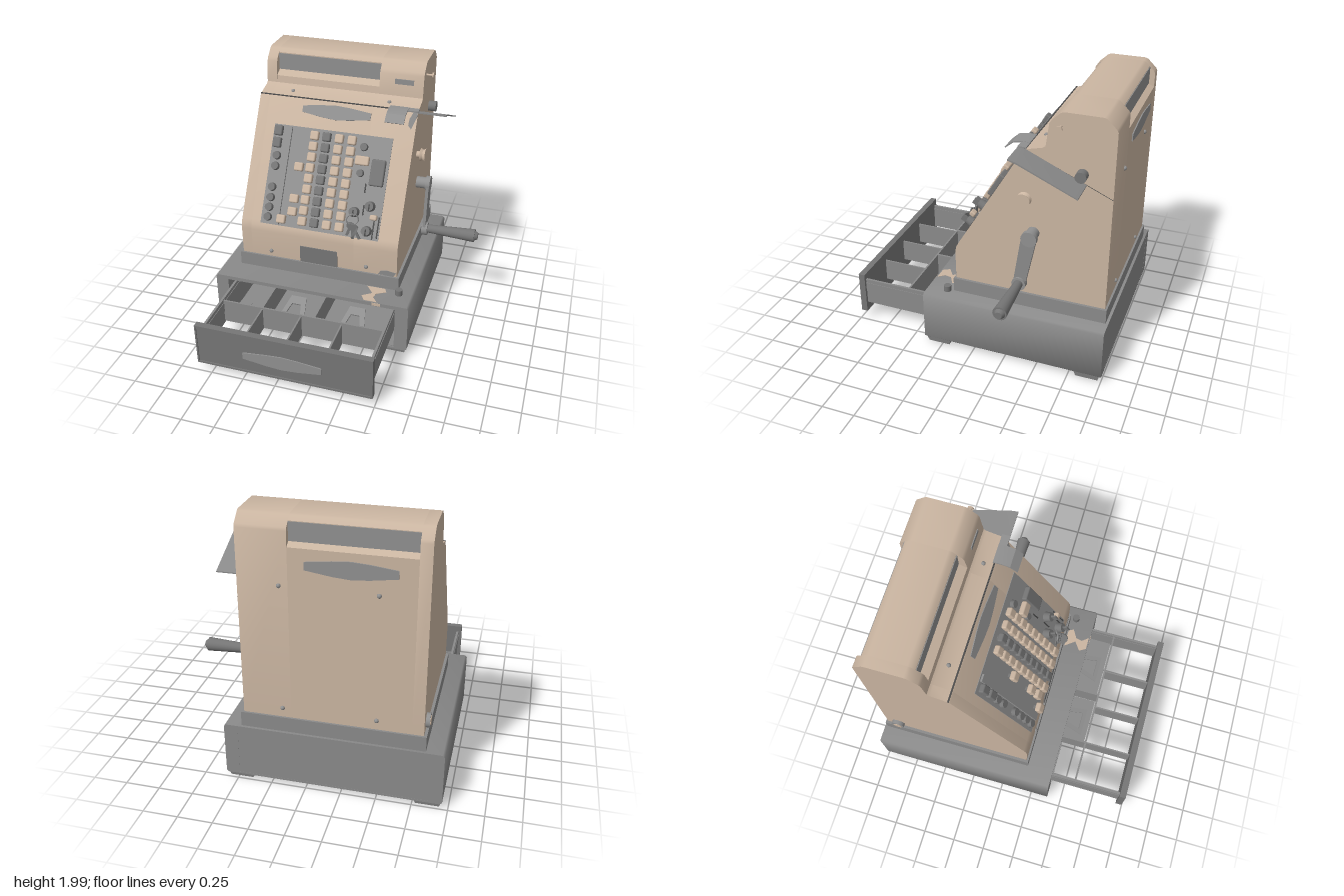
import * as THREE from 'three';
import { toCreasedNormals } from 'three/addons/utils/BufferGeometryUtils.js';
import { RoundedBoxGeometry } from 'three/addons/geometries/RoundedBoxGeometry.js';

const material = (name, color) => new THREE.MeshStandardMaterial({ name, color, side: THREE.DoubleSide });

export function createModel() {
  const root = new THREE.Group();
  const tan = material('beige enamel', 0xcab5a1);
  const grey = material('base grey', 0x8a8a8a);
  const metal = material('light metal', 0x909090);
  const slate = material('slate grey', 0x767676);
  const dark = material('dark metal', 0x4c4c4c);

  const add = (name, geo, mat, pos = [0, 0, 0], rot = [0, 0, 0], parent = root) => {
    const m = new THREE.Mesh(geo, mat);
    m.name = name;
    m.position.set(...pos);
    m.rotation.set(...rot);
    parent.add(m);
    return m;
  };
  // Box given by its minimum and maximum on each axis
  const box = (name, mat, x0, x1, y0, y1, z0, z1, parent = root) =>
    add(name, new THREE.BoxGeometry(x1 - x0, y1 - y0, z1 - z0), mat,
      [(x0 + x1) / 2, (y0 + y1) / 2, (z0 + z1) / 2], [0, 0, 0], parent);
  const vecs = pts => pts.map(p => new THREE.Vector2(...p));
  const extrude = (shape, depth) => new THREE.ExtrudeGeometry(shape, { depth, bevelEnabled: false });
  const flat = (pts, depth) => extrude(new THREE.Shape(vecs(pts)), depth);
  // Side profile of (z, y) points swept from x0 to x1
  const sweep = (name, mat, pts, x0, x1) => {
    const g = flat(pts, x1 - x0);
    g.rotateY(-Math.PI / 2);
    g.translate(x1, 0, 0);
    return add(name, toCreasedNormals(g, 0.5), mat);
  };
  // Round part lying along x, with its radius at each end
  const rod = (name, mat, x0, x1, y, z, r0, r1 = r0) =>
    add(name, new THREE.CylinderGeometry(r0, r1, x1 - x0, 20), mat, [(x0 + x1) / 2, y, z], [0, 0, Math.PI / 2]);
  // Long plaque, tallest in the middle
  const plaque = (w, h) => flat([[-w / 2, -h * 0.2], [-w * 0.2, -h * 0.42], [0, -h / 2], [w * 0.2, -h * 0.42],
    [w / 2, -h * 0.2], [w / 2, h * 0.25], [w * 0.2, h * 0.43], [0, h / 2], [-w * 0.2, h * 0.43], [-w / 2, h * 0.25]], 0.008);

  // Base housing with softly shaded edges, open at the front for the drawer
  const housing = new THREE.Shape(vecs([[-0.945, 0.04], [0.57, 0.04], [0.585, 0.055], [0.585, 0.425],
    [0.57, 0.44], [-0.945, 0.44], [-0.96, 0.425], [-0.96, 0.055]]));
  housing.holes.push(new THREE.Path(vecs([[-0.86, 0.055], [-0.86, 0.41], [0.485, 0.41], [0.485, 0.055]])));
  add('baseHousing', toCreasedNormals(extrude(housing, 1.39), 1), grey, [0, 0, -1]);
  box('baseBack', grey, -0.87, 0.495, 0.045, 0.42, -0.999, -0.97);
  box('bottomPanel', slate, -0.82, 0.45, 0.034, 0.041, -0.78, 0.3);
  box('plinth', grey, -0.83, 0.46, 0.435, 0.55, -0.98, 0.19);
  for (const x of [-0.855, 0.48]) for (const z of [0.28, -0.89]) {
    const foot = new THREE.CylinderGeometry(0.14, 0.118, 0.06, 4);
    foot.rotateY(Math.PI / 4);
    add('foot', foot.toNonIndexed(), grey, [x, 0.03, z]).geometry.computeVertexNormals();
  }
  add('baseButton', new THREE.CylinderGeometry(0.028, 0.028, 0.05, 16), slate, [0.475, 0.46, 0.235]);
  const chip = flat([[0.22, -0.2], [0.36, -0.2], [0.38, -0.24], [0.31, -0.28], [0.3, -0.33], [0.34, -0.38],
    [0.24, -0.38], [0.21, -0.33], [0.28, -0.28]], 0.003);
  add('wornPaint', chip, tan, [0, 0.44, 0], [-Math.PI / 2, 0, 0]);
  box('wornPaintFront', tan, 0.305, 0.37, 0.415, 0.438, 0.39, 0.393);

  // Drawer
  box('drawerFront', slate, -0.86, 0.485, 0.07, 0.41, 0.945, 0.985);
  for (const y of [0.07, 0.395]) box('drawerFrontRim', slate, -0.86, 0.485, y, y + 0.015, 0.945, 0.994);
  for (const x of [-0.86, 0.473]) box('drawerFrontEdge', slate, x, x + 0.012, 0.07, 0.41, 0.945, 0.994);
  add('drawerPlaque', plaque(0.6, 0.115), metal, [-0.19, 0.222, 0.992]);
  add('drawerPlaqueBack', plaque(0.58, 0.1), metal, [-0.19, 0.222, 0.984]);
  for (const x of [-0.835, 0.445]) {
    box('drawerSide', grey, x, x + 0.018, 0.145, 0.36, -0.4, 0.95);
    box('drawerRail', grey, x - 0.004, x + 0.022, 0.25, 0.33, -0.4, 0.945);
  }
  for (const x of [-0.5, -0.19, 0.13]) box('coinDivider', grey, x - 0.006, x + 0.006, 0.16, 0.34, 0.58, 0.95);
  box('crossDivider', grey, -0.83, 0.455, 0.16, 0.35, 0.572, 0.586);
  for (const x of [-0.5, -0.085]) box('noteDivider', grey, x - 0.008, x + 0.008, 0.16, 0.35, -0.4, 0.58);
  for (const [x0, x1] of [[-0.49, -0.1], [-0.075, 0.44]]) {
    box('noteTray', grey, x0, x1, 0.16, 0.175, -0.4, 0.565);
    const clip = new THREE.Shape(vecs([[-0.11, 0], [0.11, 0], [0.06, 0.24], [-0.06, 0.24]]));
    clip.holes.push(new THREE.Path(vecs([[-0.07, 0.03], [-0.035, 0.17], [0.035, 0.17], [0.07, 0.03]])));
    add('noteClip', extrude(clip, 0.012), metal, [(x0 + x1) / 2 - 0.01, 0.2, 0.52], [-1.2, 0, 0]);
  }

  // Cabinet: the middle slice carries the window recesses front and back
  const lower = [[-0.965, 0.55], [0.175, 0.55], [0.178, 0.77], [0.172, 0.815], [0.155, 0.85], [-0.335, 1.675], [-0.35, 1.69], [-0.47, 1.72], [-0.49, 1.735]];
  const plain = [...lower, [-0.51, 1.9], [-0.525, 1.925], [-0.585, 1.982], [-0.61, 1.99], [-0.87, 1.99], [-0.89, 1.982], [-0.955, 1.92], [-0.965, 1.9]];
  const recessed = [...lower, [-0.498, 1.79], [-0.56, 1.82], [-0.56, 1.957], [-0.585, 1.982], [-0.61, 1.99],
    [-0.87, 1.99], [-0.89, 1.982], [-0.92, 1.954], [-0.92, 1.82], [-0.965, 1.795]];
  sweep('cabinetRight', tan, plain, 0.1, 0.44);
  sweep('cabinetMiddle', tan, recessed, -0.73, 0.1);
  sweep('cabinetLeft', tan, plain, -0.81, -0.73);
  box('frontWindow', metal, -0.73, 0.1, 1.822, 1.95, -0.562, -0.555);
  box('backWindow', metal, -0.73, 0.1, 1.822, 1.95, -0.925, -0.918);
  box('counterWindow', metal, 0.22, 0.365, 1.825, 1.865, -0.51, -0.499);
  box('frontSeam', dark, -0.811, 0.441, 1.687, 1.693, -0.355, -0.344);
  sweep('sideSeam', dark, [[-0.345, 1.69], [-0.965, 1.418], [-0.965, 1.421], [-0.345, 1.695]], 0.439, 0.442);
  box('lowerPlate', slate, -0.33, -0.03, 0.552, 0.69, 0.176, 0.184);
  add('backPlaque', plaque(0.6, 0.12), metal, [-0.31, 1.68, -0.966], [0, Math.PI, 0]);
  for (const [x, y, z] of [[-0.57, 0.6, 0.178], [0.2, 0.6, 0.178], [-0.57, 1.705, -0.42], [0.2, 1.705, -0.42],
    [0.16, 1.53, -0.967], [-0.49, 1.53, -0.967], [0.16, 0.62, -0.967], [-0.49, 0.62, -0.967]])
    add('screw', new THREE.SphereGeometry(0.016, 10, 8), metal, [x, y, z]);
  const scuff = () => flat([[-0.07, -0.02], [0.05, -0.025], [0.07, 0.01], [0, 0.022], [-0.05, 0.012]], 0.003);
  add('lowerScuff', scuff(), grey, [0.365, 0.575, 0.176]);

  // Fittings on the sides
  rod('sideLock', metal, -0.838, -0.81, 0.615, -0.865, 0.05);
  rod('sideLockCore', tan, -0.842, -0.83, 0.615, -0.865, 0.033);
  rod('knobStem', tan, 0.43, 0.48, 1.335, -0.36, 0.025);
  rod('knob', tan, 0.47, 0.49, 1.335, -0.36, 0.052, 0.04);
  rod('knobFace', tan, 0.49, 0.51, 1.335, -0.36, 0.04, 0.052);
  rod('pin', tan, 0.43, 0.49, 1.89, -0.59, 0.008);
  rod('pinHead', tan, 0.485, 0.497, 1.89, -0.59, 0.022);
  rod('shelfKnob', slate, 0.43, 0.5, 1.575, -0.75, 0.04);

  // Receipt shelf with its curled tongue
  sweep('shelf', grey, [[-0.3, 1.704], [-0.36, 1.69], [-0.78, 1.502], [-0.78, 1.494], [-0.36, 1.678], [-0.3, 1.695]], 0.441, 0.655);
  sweep('tongue', metal, [[-0.36, 1.7], [-0.3, 1.703], [-0.24, 1.69], [-0.185, 1.645], [-0.18, 1.65], [-0.235, 1.699], [-0.3, 1.712], [-0.36, 1.71]], 0.225, 0.37);
  sweep('tongueBridge', metal, [[-0.36, 1.698], [-0.3, 1.7], [-0.3, 1.71], [-0.36, 1.708]], 0.36, 0.45);

  // Crank
  rod('crankHub', metal, 0.43, 0.545, 1.065, -0.42, 0.045);
  rod('crankBoss', metal, 0.515, 0.55, 1.065, -0.42, 0.058);
  sweep('crankArm', grey, [[-0.475, 1.065], [-0.4, 0.69], [-0.31, 0.69], [-0.365, 1.065]], 0.522, 0.546);
  rod('crankPivot', metal, 0.515, 0.56, 0.69, -0.355, 0.052);
  rod('crankHandle', slate, 0.55, 0.935, 0.693, -0.355, 0.032, 0.052);
  rod('handleCap', slate, 0.935, 0.96, 0.693, -0.355, 0.04, 0.026);

  // Sloped keyboard; local z points out of the panel
  const board = new THREE.Group();
  board.name = 'keyboard';
  board.position.set(0, 0.815, 0.175);
  board.rotation.x = -0.536;
  root.add(board);
  const up = (y, out = 0) => (y - 0.815 - 0.51 * out) / 0.86;
  box('keyPanel', metal, -0.655, 0.285, up(0.835), up(1.5), -0.01, 0.006, board);
  box('keyRail', metal, -0.56, -0.505, up(0.84), up(1.49), 0, 0.022, board);
  add('namePlaque', plaque(0.54, 0.11), metal, [-0.18, up(1.618), 0.001], [0, 0, 0], board);
  add('seamScuff', scuff(), grey, [0.405, up(1.635), 0], [0, 0, 1.3], board);
  const cap = (x, y, w, h, mat, out = 0.045) => {
    add('keyStem', new THREE.BoxGeometry(0.03, 0.03, out), slate, [x, up(y, out), out / 2], [0, 0, 0], board);
    add('keyCap', new RoundedBoxGeometry(w, h, 0.045, 2, 0.012), mat, [x, up(y, out), out], [0, 0, 0], board);
  };
  const button = (x, y, r, mat, out = 0.035) =>
    add('roundKey', new THREE.CylinderGeometry(r * 0.85, r, out, 16), mat, [x, up(y, out), out / 2], [Math.PI / 2, 0, 0], board);
  [[-0.31, tan], [-0.215, slate], [-0.115, tan], [-0.015, tan]].forEach(([x, mat]) => {
    for (let i = 0; i < 9; i++) cap(x, 1.475 - i * 0.0705, 0.066, 0.068, mat);
  });
  for (const y of [1.475, 1.395]) cap(-0.605, y, 0.066, 0.078, slate, 0.035);
  for (const y of [1.31, 1.24, 1.1, 1.03, 0.965, 0.9]) button(-0.6, y, 0.034, slate);
  for (const [x, y] of [[-0.395, 1.265], [-0.395, 1.055], [-0.395, 0.97], [-0.475, 0.91]]) cap(x, y, 0.07, 0.066, tan, 0.055);
  cap(0.085, 1.355, 0.108, 0.07, tan);
  cap(0.235, 1.005, 0.055, 0.04, tan);
  cap(0.21, 1.28, 0.108, 0.2, slate, 0.025);
  button(0.075, 1.44, 0.032, slate);
  button(0.075, 1.27, 0.03, slate);
  for (const [x, y, h] of [[0.13, 1.16, 0.07], [0.14, 1.02, 0.08], [0.235, 0.9, 0.14], [0.27, 0.92, 0.16]])
    box('slot', dark, x - 0.005, x + 0.005, up(y) - h / 2, up(y) + h / 2, 0.005, 0.01, board);

  // Locks and hanging keys
  for (const [x, y] of [[0.19, 1.08], [0.075, 1.03], [0.19, 0.92]]) {
    button(x, y, 0.04, slate, 0.06);
    box('lockKey', slate, x - 0.006, x + 0.006, up(y, 0.08) - 0.025, up(y, 0.08) + 0.025, 0.055, 0.1, board);
  }
  const bunch = new THREE.Group();
  bunch.name = 'keyBunch';
  bunch.position.set(0.085, 0.97, 0.16);
  root.add(bunch);
  add('keyRing', new THREE.TorusGeometry(0.045, 0.005, 6, 20), metal, [0, 0.02, 0], [0, 0.4, 0], bunch);
  [-0.35, 0.05, 0.45].forEach((a, i) => {
    const hang = new THREE.Group();
    hang.name = 'hangingKey';
    hang.position.z = i * 0.012;
    hang.rotation.z = a;
    bunch.add(hang);
    add('keyBow', new THREE.CylinderGeometry(0.032, 0.032, 0.008, 14), slate, [0, -0.04, 0], [Math.PI / 2, 0, 0], hang);
    box('keyBlade', slate, -0.01, 0.01, -0.14, -0.05, -0.004, 0.004, hang);
  });
  add('tag', new THREE.CylinderGeometry(0.05, 0.05, 0.012, 18), slate, [0.11, 0.9, 0.19], [0.3, 0, Math.PI / 2 - 0.5]);
  return root;
}
